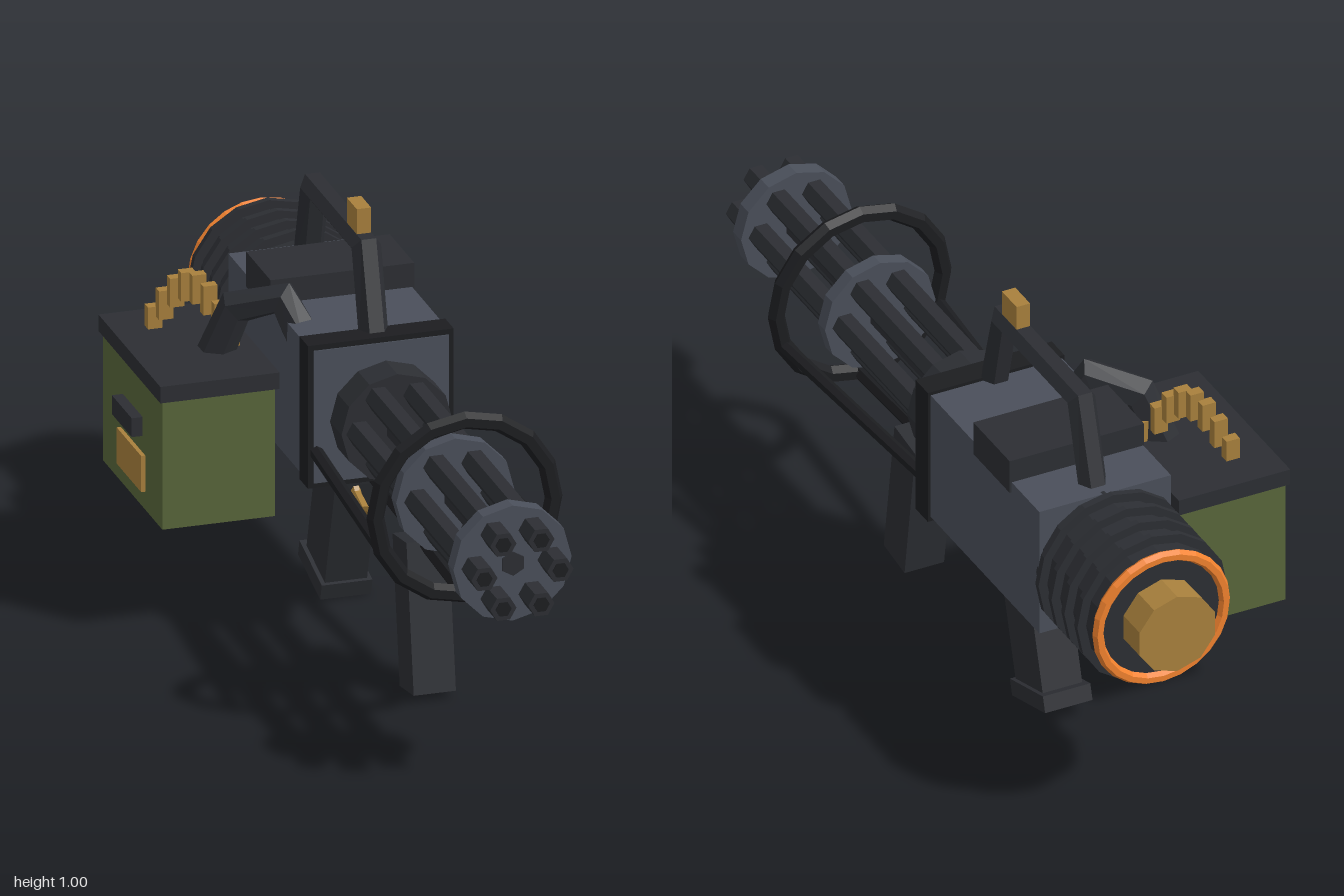
import * as THREE from 'three';

// Curve that visits given points exactly, so tubes keep hard corners
class Polyline extends THREE.Curve {
  constructor(points) {
    super();
    this.points = points.map((p) => new THREE.Vector3(...p));
  }
  getPointAt(u) {
    return this.points[Math.round(u * (this.points.length - 1))].clone();
  }
  getTangentAt(u) {
    const p = this.points, i = Math.round(u * (p.length - 1));
    const t = new THREE.Vector3();
    if (i > 0) t.add(p[i].clone().sub(p[i - 1]).normalize());
    if (i < p.length - 1) t.add(p[i + 1].clone().sub(p[i]).normalize());
    return t.normalize();
  }
}

export function createModel() {
  const model = new THREE.Group();
  const AX = 0.135, AY = 0.56; // barrel axis
  const mat = (color) => new THREE.MeshStandardMaterial({ color, flatShading: true, side: THREE.DoubleSide });
  const dark = mat(0x2c2e33), black = mat(0x1c1d20), steel = mat(0x4a4f5a);
  const green = mat(0x58663a), gold = mat(0xa8803c), orange = mat(0xf0812e);

  const add = (name, geometry, material, x = 0, y = 0, z = 0) => {
    const mesh = new THREE.Mesh(geometry, material);
    mesh.name = name;
    mesh.position.set(x, y, z);
    model.add(mesh);
    return mesh;
  };
  // Box given by its extents on each axis
  const block = (name, material, [x0, x1], [y0, y1], [z0, z1]) =>
    add(name, new THREE.BoxGeometry(x1 - x0, y1 - y0, z1 - z0), material,
      (x0 + x1) / 2, (y0 + y1) / 2, (z0 + z1) / 2);
  // Cylinder lying along z
  const drum = (name, material, r, z0, z1, sides, x = AX, y = AY, turn = 0) => {
    const g = new THREE.CylinderGeometry(r, r, z1 - z0, sides).rotateX(Math.PI / 2).rotateZ(turn);
    return add(name, g, material, x, y, (z0 + z1) / 2);
  };
  const pipe = (name, material, points, r, sides = 6) =>
    add(name, new THREE.TubeGeometry(new Polyline(points), points.length - 1, r, sides), material);

  // Rotating barrel cluster
  for (let i = 0; i < 6; i++) {
    const a = i * Math.PI / 3;
    const x = AX + 0.09 * Math.cos(a), y = AY + 0.09 * Math.sin(a);
    drum('barrel', dark, 0.031, 0.04, 0.998, 6, x, y, Math.PI / 6);
    drum('bore', black, 0.019, 0.99, 1, 6, x, y, Math.PI / 6);
  }
  drum('spindle', dark, 0.029, 0.04, 0.93, 6);
  drum('frontBarrelClamp', steel, 0.14, 0.885, 0.925, 12);
  drum('rearBarrelClamp', steel, 0.14, 0.47, 0.505, 12);
  drum('barrelHub', dark, 0.132, -0.005, 0.08, 12);
  drum('hubShaft', dark, 0.1, -0.05, 0, 12);

  // Hand guard ring with its three support rods
  add('guardRing', new THREE.TorusGeometry(0.211, 0.021, 6, 16), black, AX, AY, 0.572);
  for (const s of [-1, 1]) {
    pipe('sideRod', black, [[AX + s * 0.152, 0.475, -0.06], [AX + s * 0.195, 0.48, 0.572]], 0.016);
  }
  pipe('lowerRod', black, [[AX, 0.38, -0.11], [AX, 0.35, 0.572]], 0.019);

  // Receiver
  block('receiver', steel, [-0.033, 0.3], [0.4, 0.727], [-0.64, -0.09]);
  block('frontFrame', black, [-0.038, 0.307], [0.388, 0.735], [-0.102, -0.04]);
  block('frontPlate', steel, [-0.025, 0.295], [0.4, 0.722], [-0.05, -0.037]);
  block('feedCover', dark, [-0.035, 0.305], [0.7, 0.785], [-0.503, -0.323]);

  // Motor housing with cooling fins
  drum('motorHousing', dark, 0.168, -0.92, -0.63, 16);
  for (let i = 0; i < 4; i++) {
    const z = -0.677 - i * 0.064;
    drum('coolingFin', dark, 0.19, z - 0.008, z + 0.008, 16);
  }
  add('glowRing', new THREE.TorusGeometry(0.16, 0.014, 6, 24), orange, AX, AY, -0.92);
  drum('motorCap', gold, 0.1, -1, -0.91, 10);

  // Carry handle and sight
  pipe('carryHandle', dark, [[AX, 0.7, -0.09], [AX, 0.915, -0.148], [AX, 0.915, -0.525], [AX, 0.7, -0.585]], 0.035);
  block('sight', gold, [AX - 0.017, AX + 0.017], [0.93, 1], [-0.238, -0.165]);

  // Grips, trigger and trigger guard
  const slanted = (name, w, h, d, y, z, tilt) => {
    add(name, new THREE.BoxGeometry(w, h, d), dark, AX, y, z).rotation.x = tilt;
  };
  slanted('frontGrip', 0.1, 0.355, 0.104, 0.19, 0.277, -0.15);
  slanted('rearGrip', 0.1, 0.4, 0.14, 0.235, -0.315, 0.28);
  slanted('gripFoot', 0.12, 0.04, 0.17, 0.046, -0.376, 0.28);
  slanted('trigger', 0.025, 0.08, 0.025, 0.375, -0.16, 0.2);
  pipe('triggerGuard', gold, [[AX, 0.42, -0.043], [AX, 0.355, -0.05], [AX, 0.295, -0.09],
    [AX, 0.268, -0.155], [AX, 0.285, -0.22], [AX, 0.34, -0.27]], 0.012);

  // Ammunition box
  block('ammoBox', green, [-0.342, -0.075], [0.278, 0.592], [-0.602, -0.165]);
  block('ammoLid', dark, [-0.35, -0.068], [0.59, 0.63], [-0.61, -0.155]);
  block('latch', dark, [-0.368, -0.34], [0.45, 0.496], [-0.455, -0.31]);
  block('boxPlate', gold, [-0.352, -0.34], [0.322, 0.41], [-0.47, -0.29]);

  // Feed chute and arched cartridge belt
  pipe('feedChute', dark, [[-0.162, 0.61, -0.345], [-0.12, 0.735, -0.315],
    [-0.03, 0.77, -0.25], [0.005, 0.69, -0.225]], 0.043);
  for (let i = 0; i < 8; i++) {
    add('cartridge', new THREE.BoxGeometry(0.034, 0.07, 0.025), gold,
      -0.254 + i * 0.019, 0.648 + 0.105 * Math.sin(i * Math.PI / 7), -0.503 + i * 0.0222);
  }
  return model;
}
